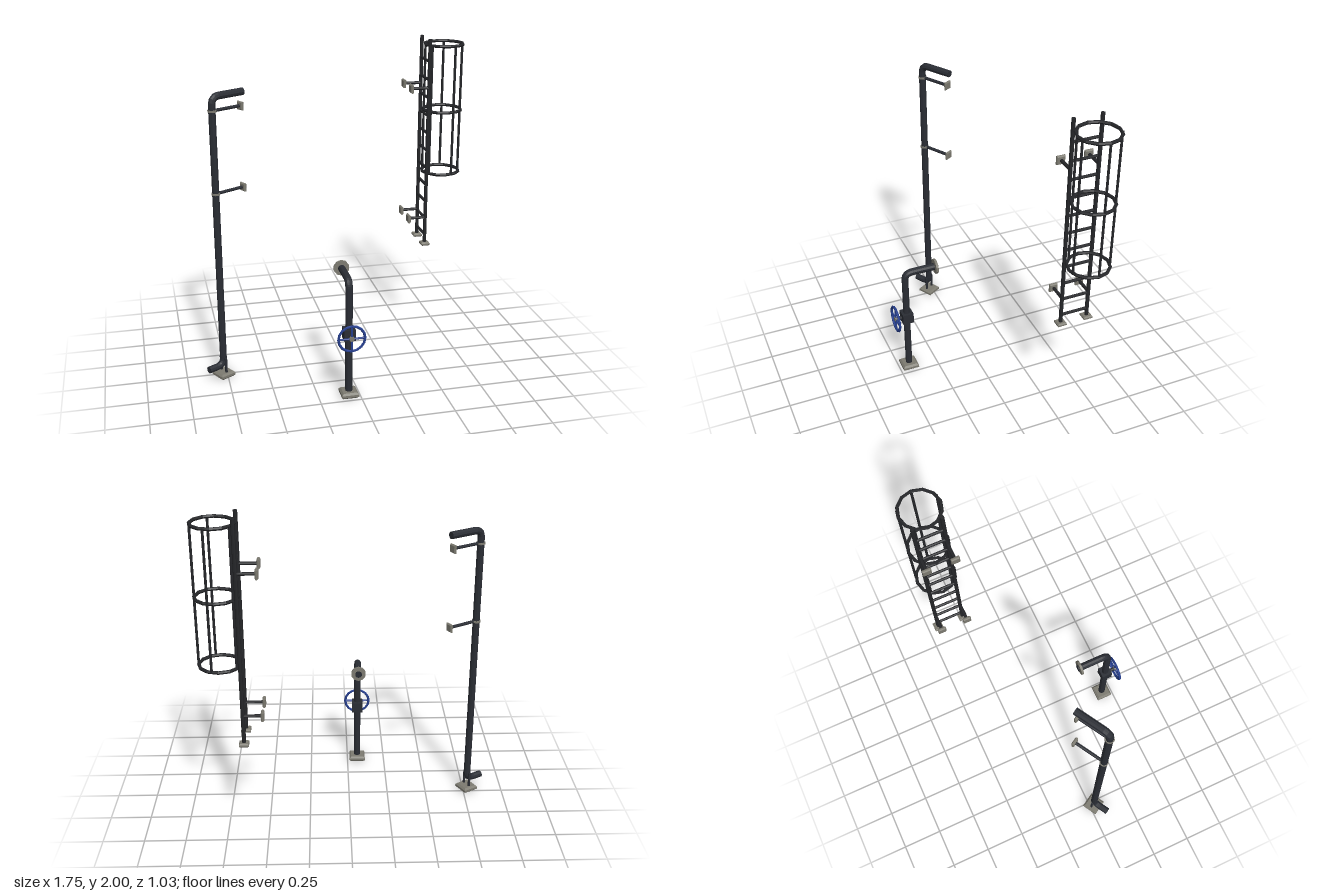
import * as THREE from 'three';

const V = (x, y, z) => new THREE.Vector3(x, y, z);

const mat = (name, color) => {
  const m = new THREE.MeshStandardMaterial({ color });
  m.name = name;
  return m;
};

// Faceted mesh: every face gets its own normal
function add(parent, name, geometry, material) {
  const g = geometry.index ? geometry.toNonIndexed() : geometry;
  g.computeVertexNormals();
  const mesh = new THREE.Mesh(g, material);
  mesh.name = name;
  parent.add(mesh);
  return mesh;
}

// Straight round bar between two points
function bar(parent, name, a, b, r, material, sides = 8) {
  const mesh = add(parent, name, new THREE.CylinderGeometry(r, r, a.distanceTo(b), sides), material);
  mesh.position.copy(a).add(b).multiplyScalar(0.5);
  mesh.quaternion.setFromUnitVectors(V(0, 1, 0), b.clone().sub(a).normalize());
  return mesh;
}

// Square plate with chamfered edges, lying flat with its underside at y = 0
function plate(parent, name, size, height, material) {
  const b = height * 0.3, h = size / 2 - b;
  const shape = new THREE.Shape([[-h, -h], [h, -h], [h, h], [-h, h]].map(p => new THREE.Vector2(...p)));
  const g = new THREE.ExtrudeGeometry(shape, {
    depth: height - 2 * b, bevelEnabled: true, bevelThickness: b, bevelSize: b, bevelSegments: 1,
  });
  g.translate(0, 0, b).rotateX(-Math.PI / 2);
  return add(parent, name, g, material);
}

// Pipe through corner points, each corner rounded by the bend length, ends capped
function pipe(parent, name, pts, r, bend, material) {
  const path = new THREE.CurvePath();
  let from = pts[0];
  for (let i = 1; i < pts.length - 1; i++) {
    const c = pts[i];
    const p = c.clone().add(pts[i - 1].clone().sub(c).setLength(bend));
    const q = c.clone().add(pts[i + 1].clone().sub(c).setLength(bend));
    path.add(new THREE.LineCurve3(from, p));
    path.add(new THREE.QuadraticBezierCurve3(p, c, q));
    from = q;
  }
  const end = pts[pts.length - 1];
  path.add(new THREE.LineCurve3(from, end));
  add(parent, name, new THREE.TubeGeometry(path, 100, r, 10, false), material);
  [[pts[0], pts[1]], [end, pts[pts.length - 2]]].forEach(([a, b]) => {
    bar(parent, name + 'End', a, a.clone().add(b.clone().sub(a).setLength(0.006)), r, material, 10);
  });
}

export function createModel() {
  const model = new THREE.Group();
  model.name = 'pipesAndLadder';
  const dark = mat('darkPipe', 0x2a2d34);
  const black = mat('blackSteel', 0x252629);
  const grey = mat('greyMetal', 0x7d7b71);
  const blue = mat('blueWheel', 0x263f8f);

  // Tall drain pipe, turned 30 degrees
  const tall = new THREE.Group();
  tall.name = 'tallPipe';
  tall.position.set(-0.773, 0, 0.027);
  tall.rotation.y = Math.PI / 6;
  model.add(tall);
  pipe(tall, 'tallPipeRun', [V(-0.11, 0.08, 0), V(0, 0.08, 0), V(0, 1.777, 0), V(0.22, 1.777, 0)], 0.022, 0.05, dark);
  plate(tall, 'tallPipeBase', 0.102, 0.036, grey);
  for (const s of [-1, 1]) {
    bar(tall, 'baseStrut', V(0, 0.03, 0.026 * s), V(0, 0.13, 0.026 * s), 0.008, dark);
  }
  for (const y of [1.2, 1.695]) {
    bar(tall, 'pipeClamp', V(0, y - 0.006, 0), V(0, y + 0.006, 0), 0.027, grey, 10);
    bar(tall, 'wallRod', V(0.015, y, 0), V(0.2, y, 0), 0.01, dark);
    const p = plate(tall, 'wallPlate', 0.05, 0.018, grey);
    p.position.set(0.192, y, 0);
    p.rotation.z = -Math.PI / 2;
  }

  // Short valve pipe
  const valve = new THREE.Group();
  valve.name = 'valvePipe';
  valve.position.set(-0.067, 0, 0.434);
  model.add(valve);
  pipe(valve, 'valvePipeRun', [V(0, 0.02, 0), V(0, 0.75, 0), V(0, 0.75, -0.216)], 0.022, 0.05, dark);
  plate(valve, 'valvePipeBase', 0.104, 0.036, grey);
  bar(valve, 'flange', V(0, 0.75, -0.208), V(0, 0.75, -0.193), 0.048, grey, 10);
  add(valve, 'valveBody', new THREE.BoxGeometry(0.07, 0.07, 0.07), dark).position.y = 0.413;
  bar(valve, 'valveStem', V(0, 0.413, 0.03), V(0, 0.413, 0.076), 0.011, dark);
  bar(valve, 'wheelHub', V(0, 0.413, 0.066), V(0, 0.413, 0.081), 0.016, grey);

  // Handwheel
  const wheel = new THREE.Group();
  wheel.name = 'handwheel';
  wheel.position.set(0, 0.413, 0.073);
  valve.add(wheel);
  add(wheel, 'wheelRim', new THREE.TorusGeometry(0.08, 0.008, 6, 16), blue);
  bar(wheel, 'wheelSpoke', V(-0.08, 0, 0), V(0.08, 0, 0), 0.006, blue, 6);
  bar(wheel, 'wheelSpoke', V(0, -0.08, 0), V(0, 0.08, 0), 0.006, blue, 6);

  // Ladder rails with feet and wall brackets
  const ladder = new THREE.Group();
  ladder.name = 'cagedLadder';
  ladder.position.set(0.621, 0, -0.381);
  model.add(ladder);
  for (const z of [-0.086, 0.086]) {
    bar(ladder, 'rail', V(0, 0.645, z), V(0, 2, z), 0.012, black);
    plate(ladder, 'railFoot', 0.058, 0.022, grey).position.set(0, 0.638, z);
    for (const y of [0.832, 1.695]) {
      bar(ladder, 'ladderRod', V(0, y, z), V(-0.11, y, z), 0.01, black);
      const p = plate(ladder, 'ladderWallPlate', 0.053, 0.02, grey);
      p.position.set(-0.104, y, z);
      p.rotation.z = Math.PI / 2;
    }
  }
  for (let i = 0; i < 11; i++) {
    const y = 0.71 + i * 0.115;
    bar(ladder, 'rung', V(0, y, -0.086), V(0, y, 0.086), 0.009, black);
  }

  // Safety cage: three hoops and five uprights
  const R = 0.122;
  const cage = new THREE.Group();
  cage.name = 'safetyCage';
  cage.position.x = 0.119;
  ladder.add(cage);
  for (const y of [1.125, 1.535, 1.955]) {
    const hoop = add(cage, 'hoop', new THREE.TorusGeometry(R, 0.01, 6, 12), black);
    hoop.position.y = y;
    hoop.rotation.x = Math.PI / 2;
  }
  for (let i = 0; i < 5; i++) {
    const a = i * Math.PI * 2 / 5, x = R * Math.cos(a), z = R * Math.sin(a);
    bar(cage, 'cageUpright', V(x, 1.12, z), V(x, 1.96, z), 0.008, black, 6);
  }
  return model;
}
